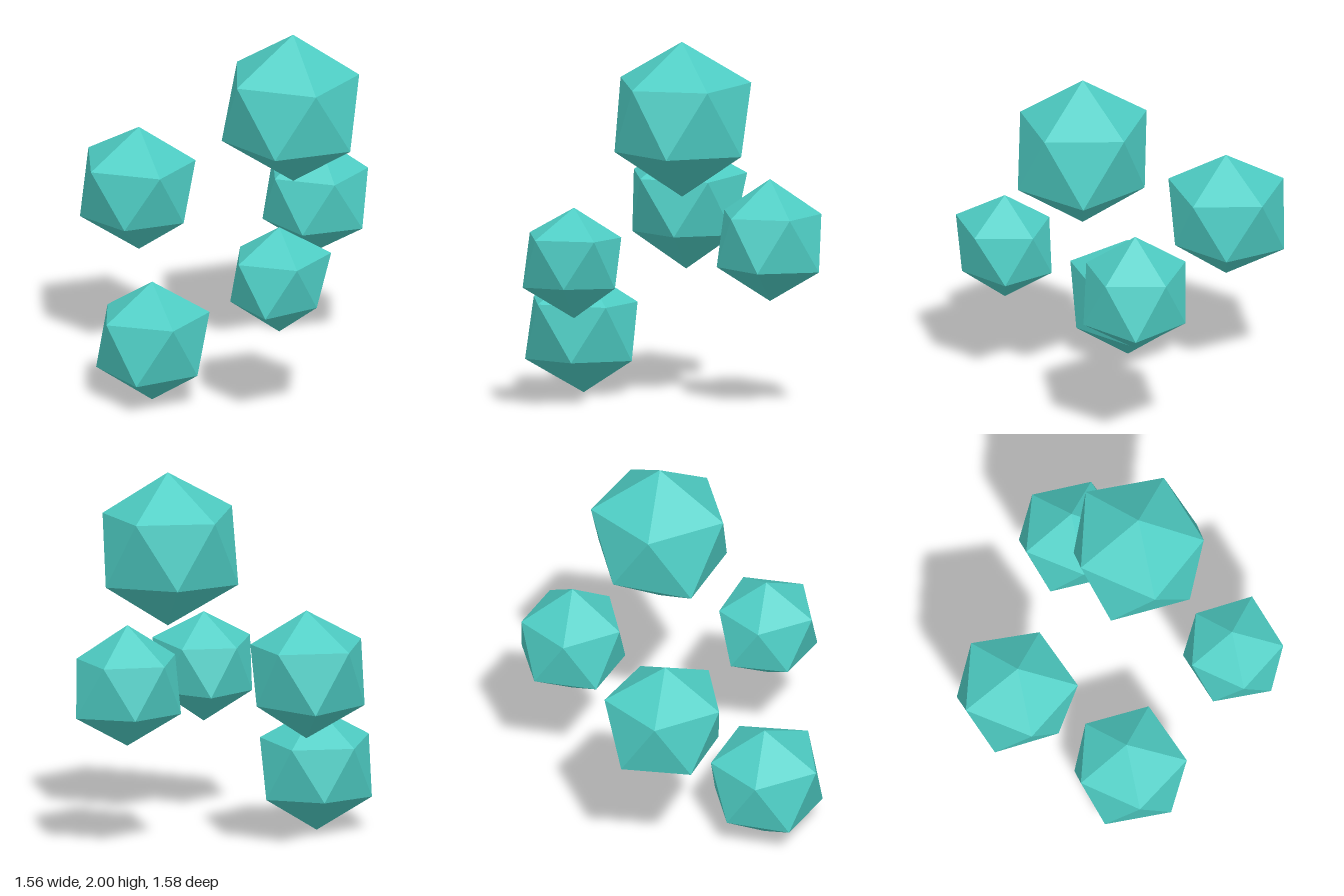
import * as THREE from 'three';

const teal = new THREE.MeshStandardMaterial({ color: 0x4ecdc4 });
teal.name = 'teal';

// Twenty-sided rock: each corner is pushed in or out from the centre.
// upper / lower hold the five radial factors of each ring, poles those of the tips.
function rockGeometry(radius, poles, upper, lower) {
  const ringY = 1 / Math.sqrt(5), ringR = 2 / Math.sqrt(5);
  const corner = (f, turn, y) => {
    const a = turn * Math.PI * 2 / 5;
    return new THREE.Vector3(ringR * Math.cos(a), y, ringR * Math.sin(a)).multiplyScalar(f * radius);
  };
  const top = new THREE.Vector3(0, radius * poles[0], 0);
  const bottom = new THREE.Vector3(0, -radius * poles[1], 0);
  const u = upper.map((f, k) => corner(f, k, ringY));
  const l = lower.map((f, k) => corner(f, k + 0.5, -ringY));
  const points = [];
  for (let k = 0; k < 5; k++) {
    const n = (k + 1) % 5;
    points.push(top, u[n], u[k]);
    points.push(u[k], u[n], l[k]);
    points.push(l[k], u[n], l[n]);
    points.push(bottom, l[k], l[n]);
  }
  const geometry = new THREE.BufferGeometry().setFromPoints(points);
  geometry.computeVertexNormals(); // unshared corners give flat facets
  return geometry;
}

const rocks = [
  { name: 'topRock', at: [0.355, 1.586, -0.067], radius: 0.4225, poles: [0.98, 1.02],
    upper: [0.945, 0.938, 1.028, 0.963, 0.995], lower: [0.979, 0.968, 1.023, 0.929, 0.992] },
  { name: 'backRightRock', at: [-0.464, 0.99, -0.433], radius: 0.3545, poles: [0.99, 1],
    upper: [0.967, 1.03, 1.044, 1.033, 1.044], lower: [0.915, 0.92, 1.006, 1.04, 0.949] },
  { name: 'lowestRock', at: [-0.419, 0.345, 0.186], radius: 0.336, poles: [1, 1.026],
    upper: [1.035, 1.088, 1.049, 0.962, 0.973], lower: [0.979, 1.057, 1.007, 0.941, 1.013] },
  { name: 'frontRock', at: [0.254, 0.82, 0.523], radius: 0.3016, poles: [0.974, 1.026],
    upper: [1.044, 1.029, 1.037, 0.938, 0.951], lower: [0.904, 1.033, 0.981, 0.985, 0.959] },
  { name: 'backLeftRock', at: [0.502, 0.913, -0.521], radius: 0.333, poles: [1, 1],
    upper: [0.931, 0.933, 0.97, 0.959, 0.936], lower: [0.991, 0.97, 0.987, 0.956, 1.041] },
];

export function createModel() {
  const group = new THREE.Group();
  group.name = 'rockCluster';
  for (const { name, at, radius, poles, upper, lower } of rocks) {
    const rock = new THREE.Mesh(rockGeometry(radius, poles, upper, lower), teal);
    rock.name = name;
    rock.position.set(...at);
    group.add(rock);
  }
  return group;
}
